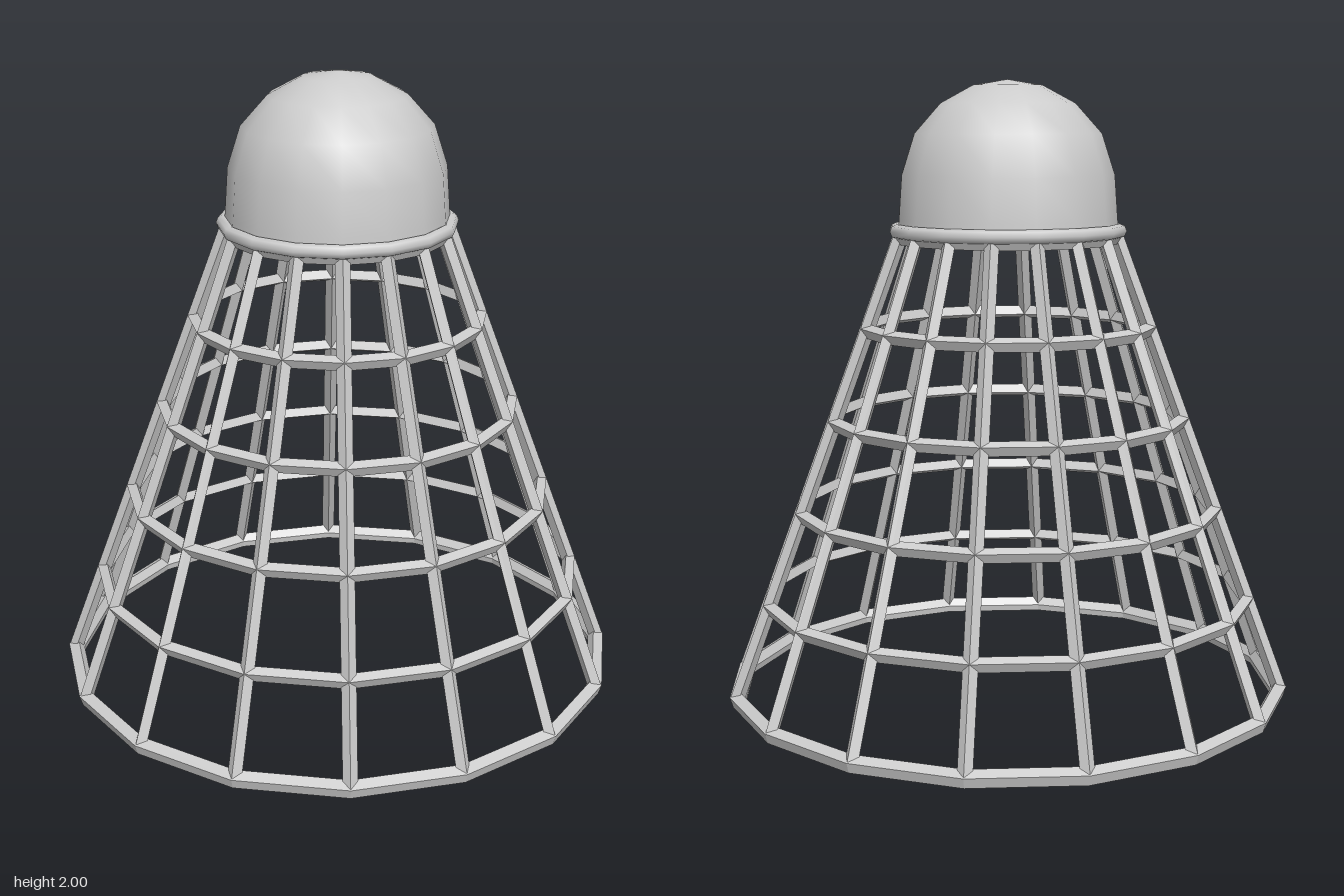
import * as THREE from 'three';

const SIDES = 16, LEVELS = 6;
const BOTTOM = { r: 0.9, y: 0.028 }, TOP = { r: 0.352, y: 1.503 };
const BAR = 0.023; // half thickness of the cage bars

export function createModel() {
  const model = new THREE.Group();
  const smooth = new THREE.MeshStandardMaterial({ color: 0xcccccc });
  const faceted = new THREE.MeshStandardMaterial({ color: 0xcccccc, flatShading: true });

  const add = (name, geometry, material, parent = model) => {
    const mesh = new THREE.Mesh(geometry, material);
    mesh.name = name;
    parent.add(mesh);
    return mesh;
  };
  const lathe = (points) =>
    new THREE.LatheGeometry(points.map(([r, y]) => new THREE.Vector2(r, y)), SIDES);

  const dr = BOTTOM.r - TOP.r, dy = TOP.y - BOTTOM.y;
  const length = Math.hypot(dr, dy), slope = Math.atan2(dr, dy);
  const s = Math.sin(slope) * BAR, c = Math.cos(slope) * BAR;

  // Skirt cage: horizontal hoops with a diamond section tilted to the cone
  const skirt = new THREE.Group();
  skirt.name = 'skirt';
  model.add(skirt);
  for (let i = 1; i < LEVELS; i++) {
    const t = i / (LEVELS - 1);
    const r = BOTTOM.r - dr * t, y = BOTTOM.y + dy * t;
    const section = [[r + s, y - c], [r + c, y + s], [r - s, y + c], [r - c, y - s], [r + s, y - c]];
    add('hoop', lathe(section), faceted, skirt);
  }

  // Bottom rim: the open edge has a flat underside
  add('bottomRim', lathe([
    [0.876, 0], [0.915, 0], [0.925, 0.033], [0.892, 0.049], [0.873, 0.022], [0.876, 0],
  ]), faceted, skirt);

  // Sloping ribs, one at each corner of the hoops
  const ribGeometry = new THREE.CylinderGeometry(BAR, BAR, length, 4);
  ribGeometry.rotateX(-slope);
  ribGeometry.translate(0, (BOTTOM.y + TOP.y) / 2, (BOTTOM.r + TOP.r) / 2);
  for (let i = 0; i < SIDES; i++) {
    add('rib', ribGeometry, faceted, skirt).rotation.y = (i / SIDES) * Math.PI * 2;
  }

  // Collar between skirt and dome
  const collar = new THREE.TorusGeometry(0.362, 0.023, 8, SIDES);
  collar.rotateX(Math.PI / 2);
  add('collar', collar, smooth);

  model.getObjectByName('collar').position.y = 1.522;

  // Rounded dome with a flat closed underside
  add('dome', lathe([
    [0.36, 1.505], [0.355, 1.56], [0.345, 1.7], [0.303, 1.83],
    [0.218, 1.925], [0.112, 1.982], [0, 2],
  ]), smooth);
  const base = new THREE.CircleGeometry(0.36, SIDES);
  base.rotateX(Math.PI / 2);
  base.translate(0, 1.505, 0);
  add('domeBase', base, smooth);

  return model;
}
